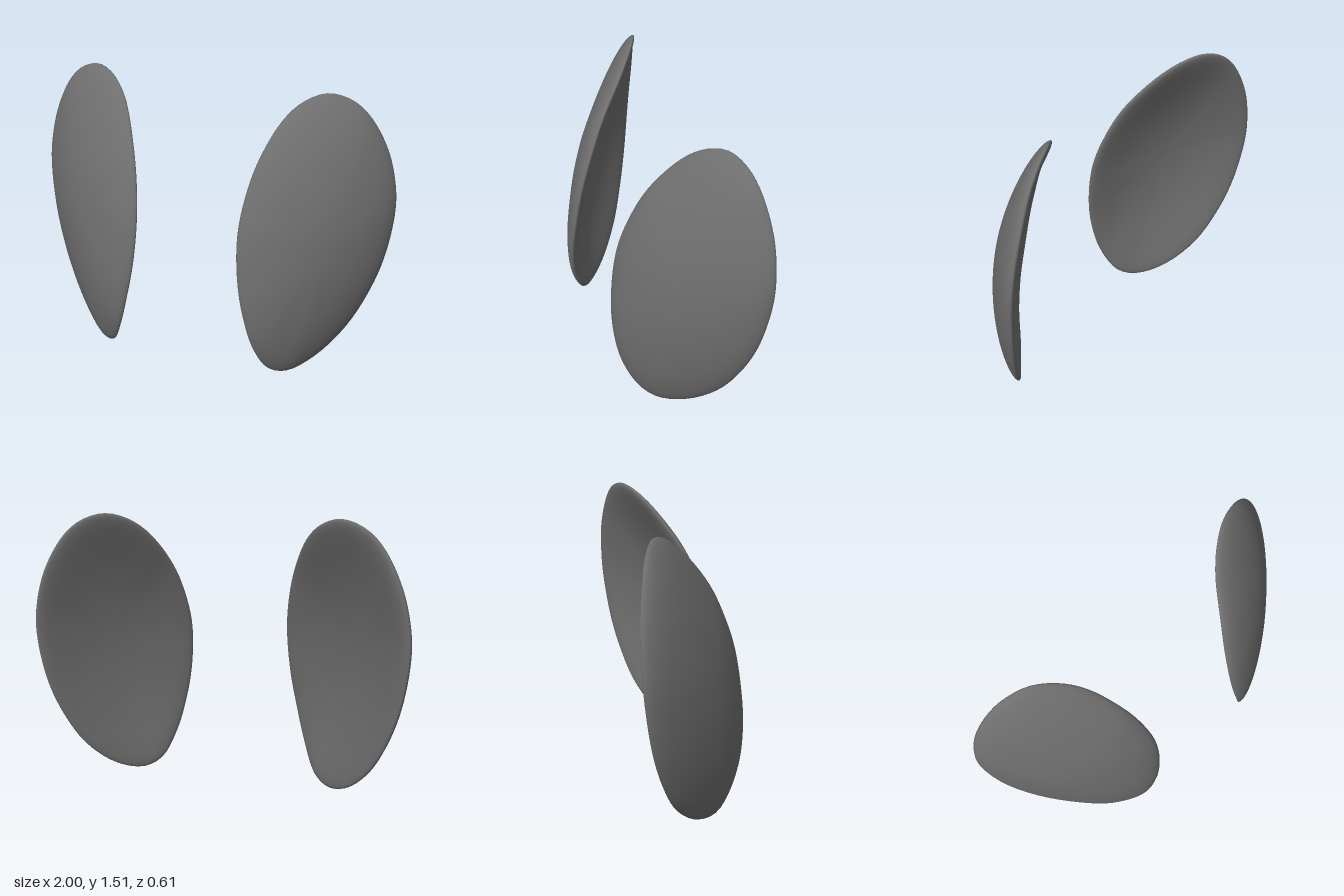
import * as THREE from 'three';

const V = (x, y, z) => new THREE.Vector3(x, y, z);

// Rim of the left shell: bottom, up the outer edge, top, down the inner edge
const RIM = [
  V(0.55, 0.008, 0.115), V(0.67, 0.055, 0.0), V(0.805, 0.2, -0.12), V(0.905, 0.4, -0.2),
  V(0.965, 0.6, -0.25), V(0.995, 0.85, -0.285), V(0.985, 1.0, -0.295), V(0.93, 1.2, -0.295),
  V(0.825, 1.385, -0.27), V(0.73, 1.467, -0.243), V(0.62, 1.5, -0.2), V(0.52, 1.47, -0.135),
  V(0.435, 1.39, -0.052), V(0.348, 1.2, 0.088), V(0.305, 1.0, 0.18), V(0.293, 0.83, 0.235),
  V(0.31, 0.6, 0.272), V(0.347, 0.4, 0.282), V(0.4, 0.2, 0.256), V(0.468, 0.05, 0.187),
];
const CENTER = V(0.645, 0.8, -0.015);
const NORMAL = V(0.605, 0.14, 0.785).normalize();

const BULGE = 0.085;
const HALF_THICKNESS = 0.036;
const RINGS = 48;
const SEGMENTS = 96;

// Dished shell with a rounded edge: rings run from the front middle, over the rim, to the back middle
function shellGeometry(side, adjust) {
  // Split each rim point into its offset within the shell's plane and its height off that plane
  const rim = new THREE.CatmullRomCurve3(RIM, true).getSpacedPoints(SEGMENTS).map((p) => {
    const offset = p.sub(CENTER);
    const height = offset.dot(NORMAL);
    return { flat: offset.addScaledVector(NORMAL, -height), height };
  });
  const positions = [];
  const indices = [];
  for (let i = 0; i <= RINGS; i++) {
    const phi = (i / RINGS) * Math.PI;
    const r = Math.sin(phi);
    const half = HALF_THICKNESS * Math.sqrt(Math.max(0, 1 - r ** 8)) * Math.sign(Math.cos(phi));
    for (let j = 0; j < SEGMENTS; j++) {
      const h = BULGE * (1 - r * r) + rim[j].height * r * r + half;
      const p = CENTER.clone().addScaledVector(rim[j].flat, r).addScaledVector(NORMAL, h);
      adjust(p);
      positions.push(p.x * side, p.y, p.z);
    }
  }
  for (let i = 0; i < RINGS; i++) {
    for (let j = 0; j < SEGMENTS; j++) {
      const k = (j + 1) % SEGMENTS;
      const a = i * SEGMENTS + j, b = a + SEGMENTS;
      const d = i * SEGMENTS + k, c = d + SEGMENTS;
      const quad = side > 0 ? [a, b, c, a, c, d] : [a, c, b, a, d, c];
      indices.push(...quad);
    }
  }
  const geometry = new THREE.BufferGeometry();
  geometry.setAttribute('position', new THREE.Float32BufferAttribute(positions, 3));
  geometry.setIndex(indices);
  geometry.computeVertexNormals();
  return geometry;
}

export function createModel() {
  const group = new THREE.Group();
  const material = new THREE.MeshStandardMaterial({ color: 0x6e6e6e });

  const left = new THREE.Mesh(shellGeometry(1, () => {}), material);
  left.name = 'leftShell';

  // The right shell is mirrored, slightly larger, rolled a little and swept outward at both ends
  const right = new THREE.Mesh(shellGeometry(-1, (p) => {
    const dy = p.y - 0.85;
    p.x = 1 + (p.x - 1) * 1.05 + 0.03 * dy + 0.028 * dy * dy;
    p.y = 0.76 + (p.y - 0.757) * 1.012;
    p.z = p.z * 1.03 + 0.006;
  }), material);
  right.name = 'rightShell';

  group.add(left, right);
  return group;
}
